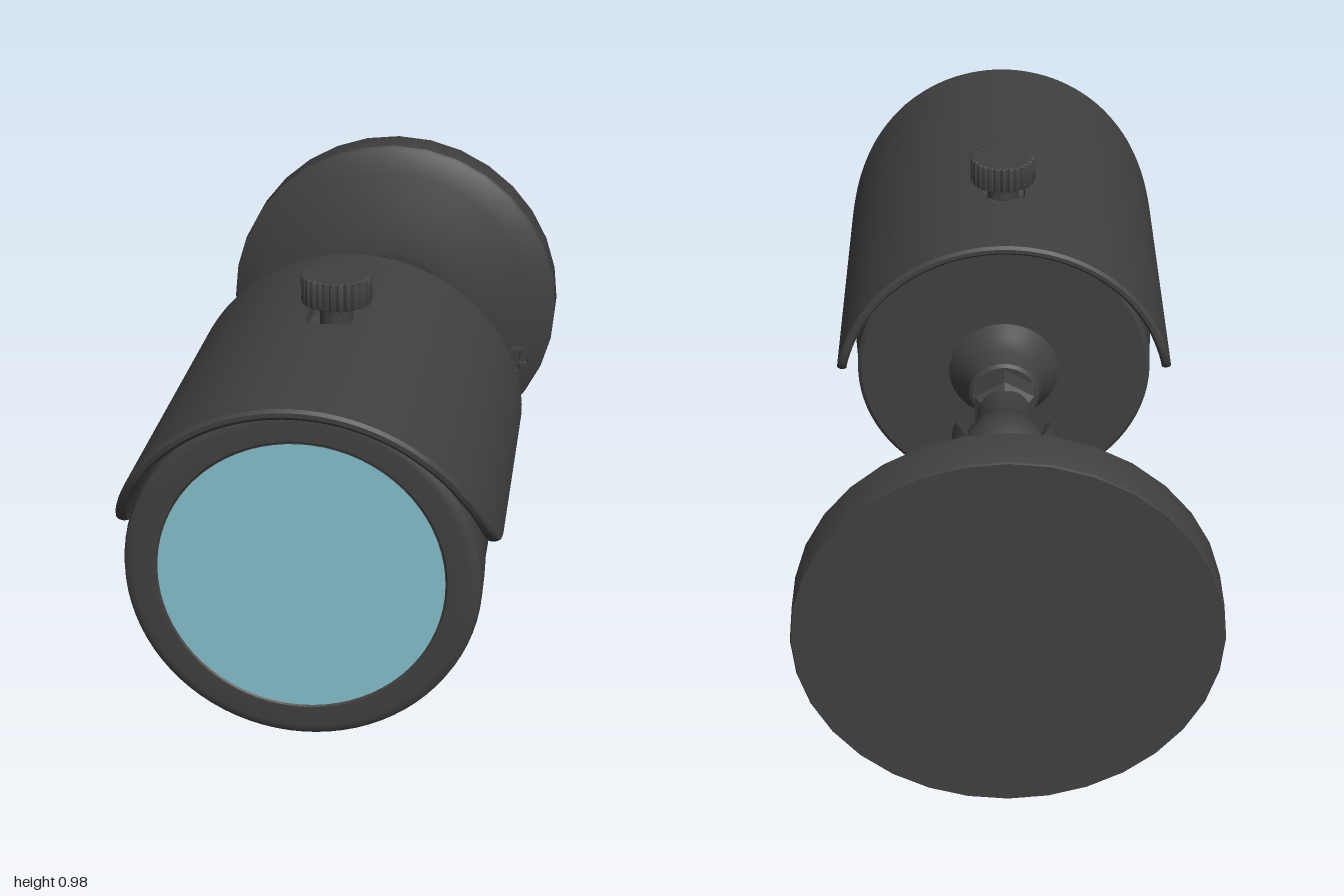
import * as THREE from 'three';
import { toCreasedNormals } from 'three/addons/utils/BufferGeometryUtils.js';

const AXIS_Y = 0.48; // height of the shared axis of body, arm and base

const housing = new THREE.MeshStandardMaterial({ color: 0x404040 });
housing.name = 'charcoal housing';
const glass = new THREE.MeshStandardMaterial({ color: 0x86c0cc });
glass.name = 'pale blue glass';

function part(name, geometry, material = housing, crease = 0.6) {
  const mesh = new THREE.Mesh(toCreasedNormals(geometry, crease), material);
  mesh.name = name;
  return mesh;
}

// Turned part along z; profile is [z, radius] from back to front
function turned(name, profile, segments = 64, crease = 0.6) {
  const points = profile.map(([z, r]) => new THREE.Vector2(r, z));
  const geometry = new THREE.LatheGeometry(points, segments).rotateX(Math.PI / 2);
  return part(name, geometry, housing, crease);
}

// Linear lookup in a table of [input, output] pairs
function lookup(table, v) {
  if (v <= table[0][0]) return table[0][1];
  for (let i = 1; i < table.length; i++) {
    const [a, fa] = table[i - 1], [b, fb] = table[i];
    if (v <= b) return fa + (fb - fa) * (v - a) / (b - a);
  }
  return table[table.length - 1][1];
}

// Curved wall around the z axis, angle measured from the top towards +x;
// back(t) and front(t) give its z limits at each angle
function wall(name, rIn, rOut, t0, t1, columns, back, front) {
  const pos = [], index = [], n = 8, b = 0.007;
  for (let i = 0; i <= columns; i++) {
    const t = t0 + (t1 - t0) * i / columns;
    const zb = back(t), zf = front(t);
    const loop = [
      [zb + b, rOut], [zf - b, rOut], [zf, rOut - b], [zf, rIn + b],
      [zf - b, rIn], [zb + b, rIn], [zb, rIn + b], [zb, rOut - b],
    ];
    for (const [z, r] of loop) pos.push(r * Math.sin(t), r * Math.cos(t), z);
  }
  for (let i = 0; i < columns; i++) {
    for (let j = 0; j < n; j++) {
      const k = (j + 1) % n;
      const a = i * n + j, d = i * n + k;
      index.push(a, d, a + n, a + n, d, d + n);
    }
  }
  const last = columns * n;
  for (let j = 1; j < n - 1; j++) {
    index.push(0, j + 1, j, last, last + j, last + j + 1);
  }
  const geometry = new THREE.BufferGeometry();
  geometry.setAttribute('position', new THREE.Float32BufferAttribute(pos, 3));
  geometry.setIndex(index);
  return part(name, geometry);
}

// Cross-head screw facing +z
function screw(name, radius, depth) {
  const group = new THREE.Group();
  group.name = name;
  const a = radius * 0.7, w = radius * 0.16;
  const head = new THREE.Shape().absarc(0, 0, radius * 0.92, 0, Math.PI * 2);
  const cross = [
    [a, w], [w, w], [w, a], [-w, a], [-w, w], [-a, w],
    [-a, -w], [-w, -w], [-w, -a], [w, -a], [w, -w], [a, -w],
  ];
  head.holes.push(new THREE.Path(cross.map(([x, y]) => new THREE.Vector2(x, y))));
  const top = new THREE.ExtrudeGeometry(head, { depth: 0.012, bevelEnabled: false, curveSegments: 24 });
  const shank = new THREE.CylinderGeometry(radius, radius, depth, 28).rotateX(Math.PI / 2);
  group.add(part('screwHead', top.translate(0, 0, depth / 2)), part('screwShank', shank));
  return group;
}

function cameraBody() {
  const group = new THREE.Group();
  group.name = 'cameraBody';

  // Barrel with rounded cooling ribs and a rear face
  const profile = [[0.08, 0], [0.08, 0.37], [0.088, 0.38], [0.2, 0.386]];
  const ribs = 6, steps = 8;
  for (let i = 0; i <= ribs * steps; i++) {
    const wave = Math.cos(i / steps * Math.PI * 2);
    profile.push([0.22 + 0.46 * i / (ribs * steps), 0.384 + 0.006 * wave]);
  }
  profile.push([0.765, 0.391], [0.77, 0.383], [0.78, 0.383], [0.785, 0.394],
    [0.885, 0.396], [0.9, 0.392], [0.908, 0.382], [0.91, 0.37],
    [0.91, 0.322], [0.905, 0.318], [0.905, 0]);
  group.add(turned('ribbedBarrel', profile, 80));

  // Front window
  const pane = part('frontWindow', new THREE.CircleGeometry(0.317, 72), glass);
  pane.position.z = 0.909;
  group.add(pane);

  // Flared rear hub
  group.add(turned('rearHub', [
    [-0.035, 0], [-0.035, 0.082], [-0.028, 0.09], [0.015, 0.1],
    [0.05, 0.118], [0.075, 0.14], [0.085, 0.145],
  ], 48));
  return group;
}

function sunVisor() {
  const group = new THREE.Group();
  group.name = 'sunVisor';
  const R = 0.432, INNER = 0.408, END = 1.455, SLOT = 0.056;
  const height = (t) => AXIS_Y + R * Math.cos(t);
  const frontEdge = [[0.53, 0.74], [0.54, 0.79], [0.56, 0.835], [0.6, 0.877],
    [0.64, 0.905], [0.71, 0.943], [0.81, 0.978], [0.88, 0.994], [0.912, 1]];
  const backEdge = [[0.53, 0.03], [0.54, 0.0], [0.565, -0.02], [0.61, -0.033]];
  const front = (t) => lookup(frontEdge, height(t));
  const back = (t) => lookup(backEdge, height(t));
  const bow = (t) => {
    const x = Math.min(1, Math.abs(R * Math.sin(t)) / SLOT);
    return 0.045 * Math.sqrt(1 - x * x);
  };
  const a = Math.asin(SLOT / R);

  // Side panels, then the middle strip in front of and behind the slot
  group.add(
    wall('visorLeft', INNER, R, a, END, 48, back, front),
    wall('visorRight', INNER, R, -END, -a, 48, back, front),
    wall('visorMiddleRear', INNER, R, -a, a, 16, back, (t) => 0.25 - bow(t)),
    wall('visorMiddleFront', INNER, R, -a, a, 16, (t) => 0.435 + bow(t), front),
  );
  return group;
}

function clampKnob() {
  const group = new THREE.Group();
  group.name = 'clampKnob';
  const rim = [], teeth = 28;
  for (let i = 0; i < teeth * 4; i++) {
    const r = i % 4 < 2 ? 0.079 : 0.073;
    const t = i / (teeth * 4) * Math.PI * 2;
    rim.push(new THREE.Vector2(r * Math.cos(t), r * Math.sin(t)));
  }
  const geometry = new THREE.ExtrudeGeometry(new THREE.Shape(rim), {
    depth: 0.052, bevelSize: 0.005, bevelThickness: 0.008, bevelSegments: 2,
  }).rotateX(-Math.PI / 2);
  const cap = part('knurledCap', geometry, housing, 0.4);
  cap.position.y = 0.92;
  const stem = part('knobStem', new THREE.CylinderGeometry(0.04, 0.04, 0.08, 24));
  stem.position.y = 0.885;
  group.add(cap, stem);
  group.position.z = 0.325;
  return group;
}

function mount() {
  const group = new THREE.Group();
  group.name = 'mount';

  // Hexagonal lock nut, neck and ball joint
  group.add(
    turned('lockNut', [[-0.122, 0], [-0.122, 0.07], [-0.108, 0.087],
      [-0.052, 0.087], [-0.036, 0.07], [-0.036, 0]], 6, 0.2),
    turned('jointBall', [[-0.408, 0], [-0.402, 0.04], [-0.38, 0.075], [-0.345, 0.1],
      [-0.3, 0.109], [-0.255, 0.1], [-0.225, 0.086], [-0.2, 0.073], [-0.11, 0.068]], 40, 0.9),
  );

  // Arm: solid rear tube and an open socket cut away at the top
  group.add(turned('armTube', [[-0.83, 0.138], [-0.42, 0.133], [-0.42, 0]], 48));
  const cut = [[0.53, -0.222], [0.55, -0.27], [0.57, -0.335], [0.59, -0.385], [0.613, -0.41]];
  group.add(wall('armSocket', 0.11, 0.132, -Math.PI, Math.PI, 64,
    () => -0.45, (t) => lookup(cut, AXIS_Y + 0.132 * Math.cos(t))));

  // Domed wall plate with a groove around the arm
  group.add(turned('wallPlate', [
    [-1, 0], [-1, 0.472], [-0.995, 0.475], [-0.892, 0.475], [-0.884, 0.468],
    [-0.862, 0.4], [-0.838, 0.32], [-0.818, 0.24], [-0.808, 0.18], [-0.808, 0.168],
    [-0.825, 0.162], [-0.825, 0.1],
  ], 32));

  // Screws on both sides of the arm and the plate
  for (const side of [1, -1]) {
    const pivot = screw('armScrew', 0.036, 0.03);
    pivot.position.set(side * 0.128, 0.005, -0.49);
    pivot.rotation.y = side * Math.PI / 2;
    const fixing = screw('plateScrew', 0.045, 0.03);
    fixing.position.set(side * 0.365, -0.152, -0.874);
    fixing.lookAt(side * 0.365 + side * 0.28, -0.152 - 0.115, 0.126);
    group.add(pivot, fixing);
  }
  return group;
}

export function createModel() {
  const model = new THREE.Group();
  model.name = 'bulletCamera';
  const visor = sunVisor();
  const body = cameraBody();
  const arm = mount();
  for (const g of [body, arm, visor]) g.position.y = AXIS_Y;
  model.add(body, visor, clampKnob(), arm);
  return model;
}
